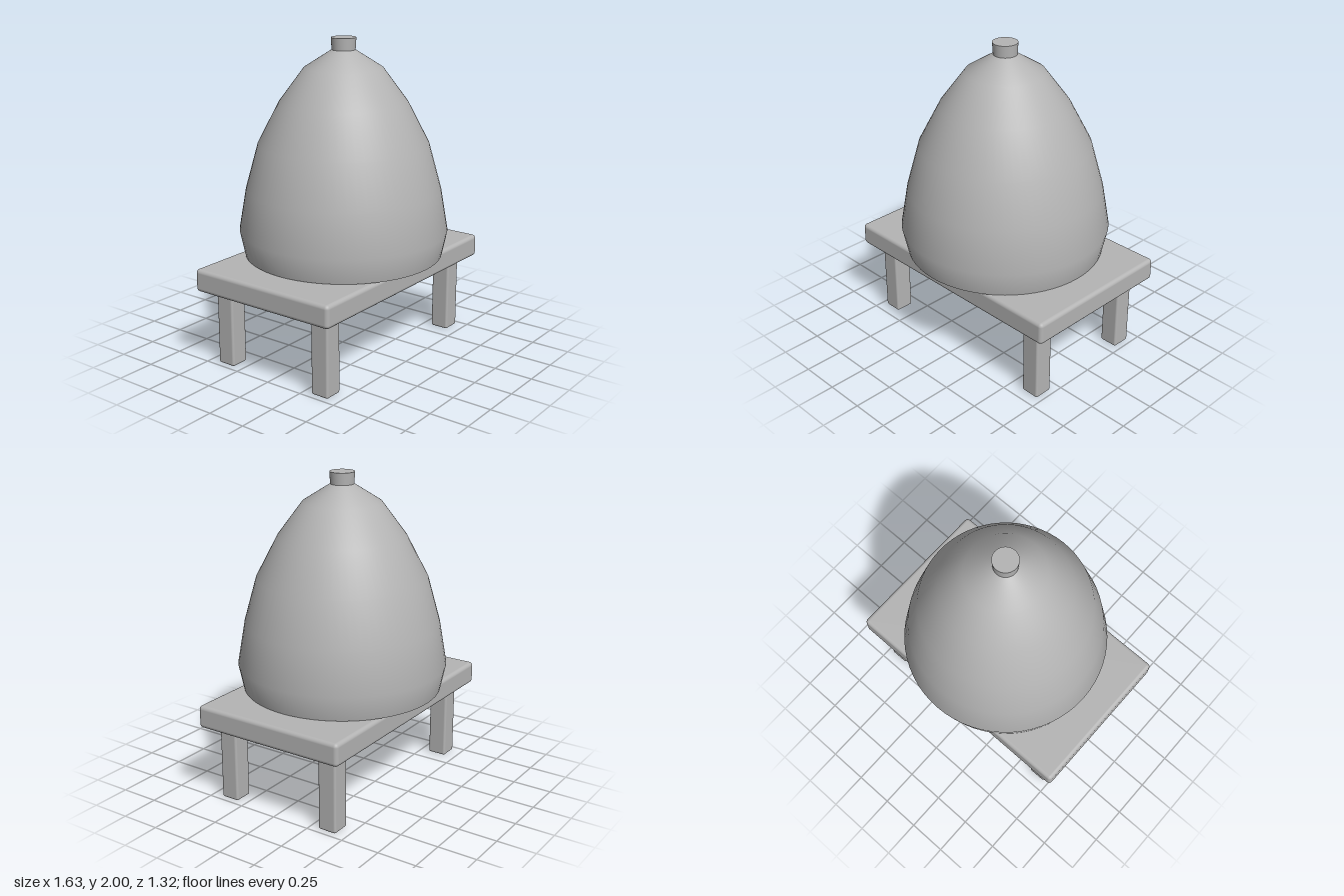
import * as THREE from 'three';
import { RoundedBoxGeometry } from 'three/addons/geometries/RoundedBoxGeometry.js';

export function createModel() {
  const model = new THREE.Group();
  model.name = 'domeOnTable';
  const grey = new THREE.MeshStandardMaterial({ color: 0xb4b4b4 });
  grey.name = 'plain grey';
  const dark = new THREE.MeshStandardMaterial({ color: 0x303030 });
  dark.name = 'dark underside';
  // Box sides in order +x, -x, +y, -y, +z, -z: only the underside is dark
  const darkBelow = [grey, grey, grey, dark, grey, grey];

  const add = (name, geometry, material, x, y, z) => {
    const mesh = new THREE.Mesh(geometry, material);
    mesh.name = name;
    mesh.position.set(x, y, z);
    model.add(mesh);
    return mesh;
  };

  // Table top with softly rounded edges
  add('tableTop', new RoundedBoxGeometry(1.635, 0.145, 1.025, 3, 0.025), darkBelow, 0, 0.56, 0);

  // Four square legs
  const leg = new RoundedBoxGeometry(0.123, 0.485, 0.123, 3, 0.014);
  for (const [side, x] of [['left', 0.655], ['right', -0.655]]) {
    for (const [end, z] of [['Front', 0.37], ['Back', -0.37]]) {
      add(`${side}${end}Leg`, leg, darkBelow, x, 0.2425, z);
    }
  }

  // Dome overhanging the table, smooth around its angular profile
  const profile = [
    [0.627, 0.636], [0.66, 0.795], [0.614, 1.06], [0.535, 1.345],
    [0.4, 1.605], [0.245, 1.815], [0.073, 1.925],
  ].map(([r, y]) => new THREE.Vector2(r, y));
  add('dome', new THREE.LatheGeometry(profile, 64), grey, 0.01, 0, 0);

  // Flat base closing the dome with a sharp rim
  add('domeBase', new THREE.CircleGeometry(0.627, 64), grey, 0.01, 0.636, 0).rotation.x = Math.PI / 2;

  // Small knob on the crown
  add('knob', new THREE.CylinderGeometry(0.078, 0.073, 0.08, 48), grey, 0.01, 1.96, 0);

  return model;
}
